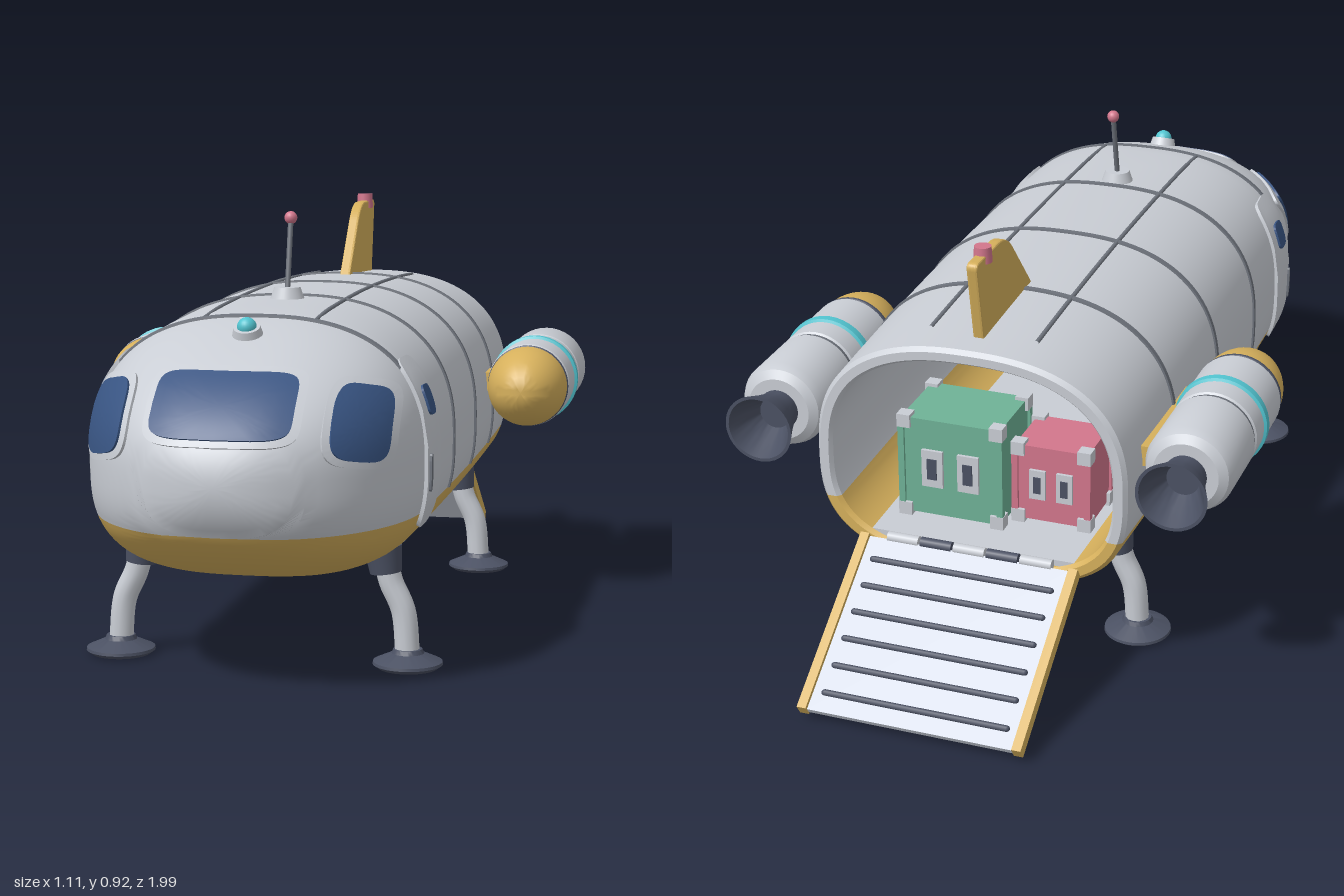
import * as THREE from 'three';
import { toCreasedNormals } from 'three/addons/utils/BufferGeometryUtils.js';

const mat = (name, color, side = THREE.FrontSide) => new THREE.MeshStandardMaterial({ name, color, side });
const M = {
  hull: mat('hullGrey', 0xc9cdd4), gold: mat('gold', 0xd6b05c), dark: mat('darkMetal', 0x4b5163),
  seam: mat('seamGrey', 0x6d727b), glass: mat('windowBlue', 0x385482), cyan: mat('cyan', 0x52c4d0),
  pink: mat('pink', 0xd2768c), green: mat('green', 0x6fb297), ramp: mat('rampGrey', 0xd0d6e2),
};

// Hull cross-section: superellipse, different above and below the centre line
const CY = 0.435, SPLIT = 0.33, REAR = -0.64, NU = 2.5, NL = 2.9;
function section(z, inset = 0, k = 1) {
  const s = THREE.MathUtils.clamp((z - 0.55) / 0.44, 0, 1), d = (z - 0.1) ** 2;
  const full = Math.sqrt(1 - s ** 2.2), top = Math.sqrt(1 - s ** 1.65);
  return {
    w: k * ((0.356 - 0.02 * d) * full - inset),
    t: k * ((0.305 - 0.045 * d) * top - inset),
    b: k * (0.24 * full - inset),
  };
}
const field = (x, y, z) => {
  const c = section(z), n = y > CY ? NU : NL;
  return Math.abs(x / c.w) ** n + Math.abs((y - CY) / (y > CY ? c.t : c.b)) ** n;
};
const hullY = (x, z) => { const c = section(z); return CY + c.t * (1 - (x / c.w) ** NU) ** (1 / NU); };
const hullX = (y, z) => {
  const c = section(z), n = y > CY ? NU : NL;
  return c.w * Math.max(0, 1 - Math.abs((y - CY) / (y > CY ? c.t : c.b)) ** n) ** (1 / n);
};
function hullZ(x, y) {
  let a = 0.4, b = 0.9899;
  for (let i = 0; i < 40; i++) { const m = (a + b) / 2; if (field(x, y, m) < 1) a = m; else b = m; }
  return a;
}
function hullNormal(p) {
  const e = 1e-4, f = field(p.x, p.y, p.z);
  return new THREE.Vector3(field(p.x + e, p.y, p.z) - f, field(p.x, p.y + e, p.z) - f,
    field(p.x, p.y, p.z + e) - f).normalize();
}

function grid(rows, cols, at) {
  const pos = [], idx = [];
  for (let i = 0; i < rows; i++) for (let j = 0; j < cols; j++) pos.push(...at(i, j));
  for (let i = 0; i < rows - 1; i++) for (let j = 0; j < cols - 1; j++) {
    const a = i * cols + j, c = a + cols;
    idx.push(a, c, a + 1, a + 1, c, c + 1);
  }
  const g = new THREE.BufferGeometry();
  g.setAttribute('position', new THREE.Float32BufferAttribute(pos, 3));
  g.setIndex(idx);
  return g;
}
// Loft of hull rings [z, inset, scale], above or below the colour split
function loft(rings, upper) {
  const n = upper ? 72 : 40;
  return toCreasedNormals(grid(rings.length, n + 1, (i, j) => {
    const [z, inset, k] = rings[i], c = section(z, inset, k);
    const a = Math.asin(Math.min(1, (CY - SPLIT) / Math.max(c.b, 1e-6)) ** (NL / 2));
    const t = upper ? -a + (Math.PI + 2 * a) * j / n : Math.PI + a + (Math.PI - 2 * a) * j / n;
    const co = Math.cos(t), si = Math.sin(t), p = 2 / (si > 0 ? NU : NL);
    return [c.w * Math.sign(co) * Math.abs(co) ** p,
      CY + (si > 0 ? c.t : -c.b) * Math.abs(si) ** p, z];
  }), 0.6);
}
// Rounded plate laid on the hull surface
function patch([cu, cv], hw, hh, n, shear, project, off) {
  const R = 8, g = grid(R + 1, 57, (i, j) => {
    const t = j / 56 * Math.PI * 2, k = Math.min(i / (R - 1), 1), co = Math.cos(t), si = Math.sin(t);
    const u = k * hw * Math.sign(co) * Math.abs(co) ** (2 / n);
    const v = k * hh * Math.sign(si) * Math.abs(si) ** (2 / n) + shear * u;
    const p = project(cu + u, cv + v);
    return p.addScaledVector(hullNormal(p), i === R ? -0.003 : off).toArray();
  });
  return toCreasedNormals(g, 0.7);
}
const onNose = (u, v) => new THREE.Vector3(u, v, hullZ(u, v));
const onSide = s => (u, v) => new THREE.Vector3(s * hullX(v, -s * u), v, -s * u);

function add(parent, name, geo, material, x = 0, y = 0, z = 0) {
  const m = new THREE.Mesh(geo, material);
  m.name = name; m.position.set(x, y, z); parent.add(m);
  return m;
}
function group(parent, name, x = 0, y = 0, z = 0) {
  const g = new THREE.Group();
  g.name = name; g.position.set(x, y, z); parent.add(g);
  return g;
}
const box = (x, y, z) => new THREE.BoxGeometry(x, y, z);
const cyl = (a, b, h, n = 32) => new THREE.CylinderGeometry(a, b, h, n);
const lathe = pts => toCreasedNormals(new THREE.LatheGeometry(pts.map(p => new THREE.Vector2(...p)), 40), 0.5);
const tube = (pts, r, n = 32) => new THREE.TubeGeometry(
  new THREE.CatmullRomCurve3(pts.map(p => new THREE.Vector3(...p))), n, r, 12);

function crate(parent, name, material, w, h, d, x, y, z) {
  const g = group(parent, name, x, y + h / 2, z);
  add(g, 'crateBody', box(w - 0.015, h - 0.015, d - 0.015), material);
  for (const a of [-1, 1]) for (const c of [-1, 1]) {
    for (const b of [-1, 1])
      add(g, 'crateCorner', box(0.03, 0.03, 0.03), M.hull, a * (w / 2 - 0.015), b * (h / 2 - 0.015), c * (d / 2 - 0.015));
    add(g, 'crateEdge', box(0.014, h - 0.05, 0.014), material, a * (w / 2 - 0.008), 0, c * (d / 2 - 0.008));
    add(g, 'latchPlate', box(w * 0.2, h * 0.36, 0.012), M.hull, a * w * 0.17, 0, c * (d / 2 - 0.006));
    add(g, 'latch', box(w * 0.09, h * 0.2, 0.012), M.dark, a * w * 0.17, 0, c * (d / 2 - 0.003));
  }
}

export function createModel() {
  const root = new THREE.Group();
  root.name = 'cargoShuttle';

  // Hull shell with open, hollow rear
  const rings = [];
  for (let i = 0; i <= 22; i++) rings.push([0.55 + 0.44 * Math.cos(i / 22 * Math.PI / 2), 0, 1]);
  for (let i = 1; i <= 12; i++) rings.push([0.55 - i / 12 * 1.18, 0, 1]);
  rings.push([REAR, 0.008, 1], [REAR, 0.026, 1], [REAR + 0.01, 0.033, 1], [-0.3, 0.033, 1], [0.3, 0.033, 1], [0.3, 0.033, 0]);
  add(root, 'upperHull', loft(rings, true), M.hull);
  add(root, 'lowerHull', loft(rings, false), M.gold);
  add(root, 'cargoFloor', box(0.5, 0.014, 0.92), M.hull, 0, 0.255, -0.17);

  // Panel seams
  for (const z of [0.6, 0.29, -0.02, -0.33])
    add(root, 'hoopSeam', loft([[z + 0.007, 0.002, 1], [z + 0.006, -0.004, 1], [z - 0.006, -0.004, 1], [z - 0.007, 0.002, 1]], true), M.seam);
  for (const s of [-1, 1]) {
    const along = [];
    for (let i = 0; i <= 10; i++) { const z = -0.545 + 1.145 * i / 10; along.push([s * 0.117, hullY(0.117, z), z]); }
    add(root, 'topSeam', tube(along, 0.005), M.seam);
    const rail = [];
    for (let i = 0; i <= 8; i++) { const z = -0.6 + 1.03 * i / 8; rail.push([s * hullX(0.237, z), 0.237, z]); }
    add(root, 'sideRail', tube(rail, 0.009), M.hull);
  }

  // Windows and doors
  add(root, 'frontFrame', patch([0, 0.577], 0.155, 0.069, 6, 0, onNose, 0.006), M.hull);
  add(root, 'frontWindow', patch([0, 0.577], 0.139, 0.057, 6, 0, onNose, 0.011), M.glass);
  for (const s of [-1, 1]) {
    add(root, 'sideFrame', patch([s * 0.252, 0.54], 0.06, 0.079, 4, -s * 0.25, onNose, 0.006), M.hull);
    add(root, 'sideWindow', patch([s * 0.252, 0.54], 0.047, 0.066, 4, -s * 0.25, onNose, 0.011), M.glass);
    add(root, 'door', patch([-s * 0.555, 0.47], 0.062, 0.17, 5, 0, onSide(s), 0.008), M.hull);
    add(root, 'doorWindow', patch([-s * 0.555, 0.555], 0.027, 0.029, 4, 0, onSide(s), 0.013), M.glass);
    add(root, 'doorHandle', patch([-s * 0.602, 0.415], 0.006, 0.038, 4, 0, onSide(s), 0.013), M.seam);
  }

  // Roof beacon and antenna
  add(root, 'beaconRing', cyl(0.027, 0.032, 0.02), M.hull, 0, 0.705, 0.7).rotation.x = 0.4;
  add(root, 'beaconDome', new THREE.SphereGeometry(0.02, 24, 16), M.cyan, 0, 0.714, 0.703);
  add(root, 'antennaBase', cyl(0.028, 0.037, 0.026), M.hull, 0, 0.748, 0.335);
  add(root, 'antennaRod', tube([[0, 0.75, 0.335], [0, 0.83, 0.317], [0, 0.905, 0.3]], 0.006, 4), M.seam);
  add(root, 'antennaTip', new THREE.SphereGeometry(0.014, 20, 14), M.pink, 0, 0.907, 0.3);

  // Tail fin, drawn with shape x pointing to the rear
  const f = new THREE.Shape();
  f.moveTo(0.28, 0.72); f.lineTo(0.4, 0.855); f.quadraticCurveTo(0.435, 0.893, 0.48, 0.893);
  f.lineTo(0.59, 0.893); f.quadraticCurveTo(0.602, 0.893, 0.6, 0.88); f.lineTo(0.565, 0.7); f.closePath();
  const fin = new THREE.ExtrudeGeometry(f, { depth: 0.014, bevelSize: 0.003, bevelThickness: 0.005, bevelSegments: 2 });
  fin.translate(0, 0, -0.007).rotateY(Math.PI / 2);
  add(root, 'tailFin', fin, M.gold);
  add(root, 'tailLight', cyl(0.018, 0.02, 0.034, 24), M.pink, 0, 0.895, -0.54);

  // Engine pods
  for (const s of [-1, 1]) {
    const e = group(root, 'enginePod', s * 0.455, 0.49, 0);
    const part = (name, pts, m) => add(e, name, lathe(pts).rotateX(Math.PI / 2), m);
    const dome = [];
    for (let i = 0; i <= 12; i++) { const t = i / 12 * Math.PI / 2; dome.push([0.092 * Math.cos(t), -0.19 + 0.135 * Math.sin(t)]); }
    part('podNose', dome, M.gold);
    part('podBody', [[0, -0.592], [0.07, -0.592], [0.088, -0.58], [0.096, -0.56], [0.096, -0.412], [0.09, -0.406], [0.09, -0.4],
      [0.096, -0.394], [0.096, -0.205], [0.091, -0.198]], M.hull);
    part('podCollar', [[0.091, -0.2], [0.094, -0.196], [0.094, -0.19], [0.09, -0.187]], M.dark);
    part('podGroove', [[0.09, -0.407], [0.0925, -0.407], [0.0925, -0.399], [0.09, -0.399]], M.seam);
    part('podRing', [[0.094, -0.34], [0.102, -0.336], [0.102, -0.318], [0.094, -0.314]], M.cyan);
    part('nozzle', [[0, -0.61], [0.035, -0.61], [0.05, -0.645], [0.069, -0.692], [0.076, -0.692], [0.058, -0.645], [0.045, -0.605],
      [0.045, -0.58]], M.dark);
    add(e, 'pylon', box(0.06, 0.045, 0.3), M.gold, -s * 0.095, 0, -0.39);
  }

  // Landing legs
  for (const s of [-1, 1]) for (const z of [0.575, -0.435]) {
    const leg = group(root, 'landingLeg', 0, 0, z);
    add(leg, 'legSocket', cyl(0.04, 0.033, 0.055), M.dark, s * 0.258, 0.226, 0).rotation.z = s * 0.12;
    add(leg, 'legStrut', tube([[s * 0.26, 0.23, 0], [s * 0.272, 0.18, 0], [s * 0.298, 0.12, 0], [s * 0.308, 0.02, 0]], 0.026), M.hull);
    add(leg, 'footPad', lathe([[0, 0], [0.062, 0], [0.073, 0.008], [0.072, 0.014], [0.034, 0.031], [0.03, 0.04], [0, 0.04]]), M.dark, s * 0.308, 0, 0);
  }

  // Loading ramp
  const ramp = group(root, 'loadingRamp', 0, 0.25, -0.645);
  ramp.rotation.x = -0.58;
  add(ramp, 'rampPlate', box(0.45, 0.014, 0.41), M.ramp, 0, 0, -0.208);
  for (const s of [-1, 1]) add(ramp, 'rampRail', box(0.02, 0.028, 0.415), M.gold, s * 0.235, 0.002, -0.208);
  for (let i = 0; i < 6; i++)
    add(ramp, 'rampTread', new THREE.CapsuleGeometry(0.007, 0.4, 4, 10).rotateZ(Math.PI / 2), M.dark, 0, 0.007, -0.055 - i * 0.063);
  for (let i = -2; i <= 2; i++)
    add(root, 'rampHinge', cyl(0.012, 0.012, 0.07, 16).rotateZ(Math.PI / 2), i % 2 ? M.dark : M.hull, i * 0.075, 0.256, -0.643);

  // Cargo
  crate(root, 'greenCrate', M.green, 0.24, 0.24, 0.19, 0.08, 0.262, -0.455);
  crate(root, 'pinkCrate', M.pink, 0.18, 0.19, 0.16, -0.13, 0.262, -0.42);
  return root;
}
